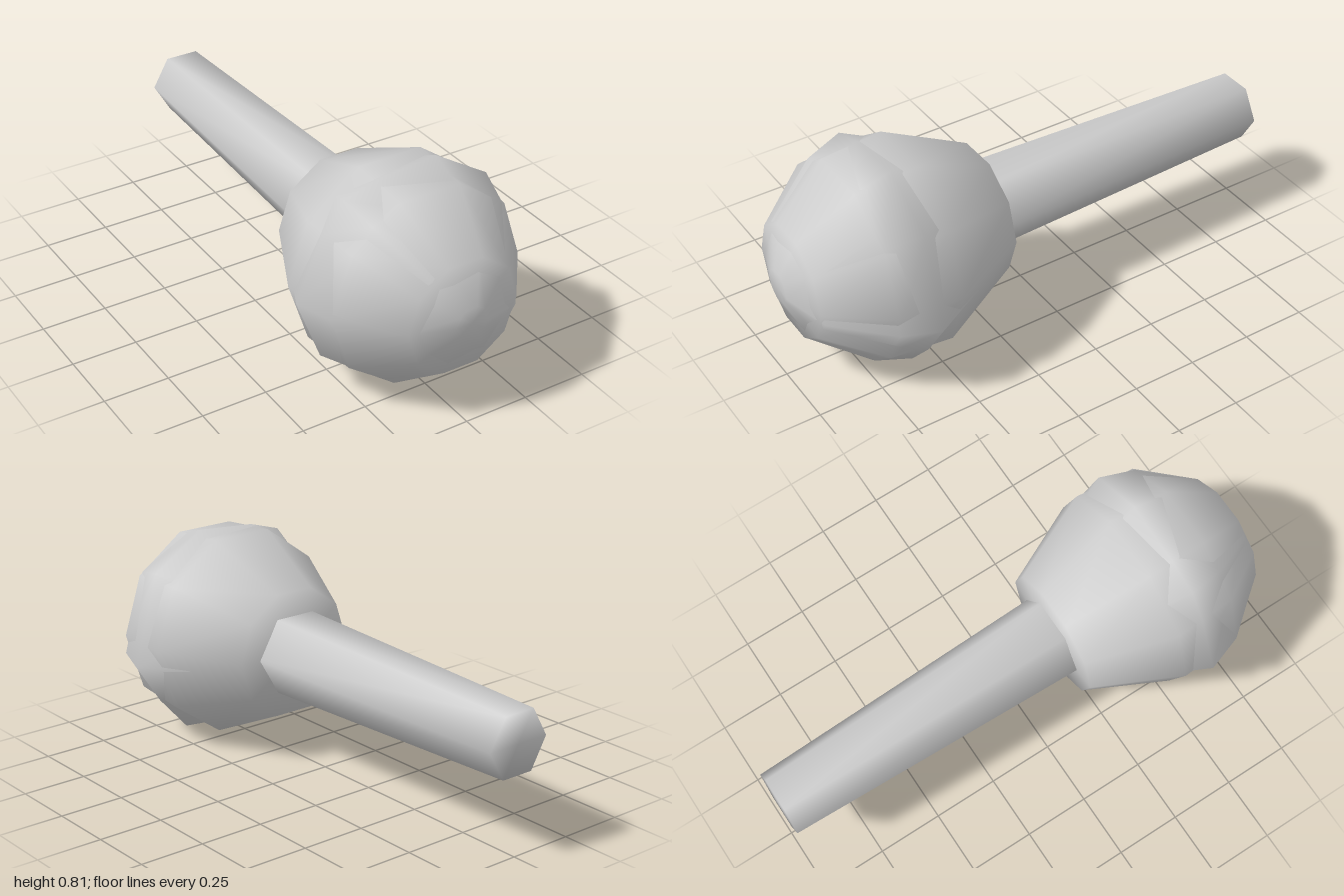
import * as THREE from 'three';
import { mergeVertices } from 'three/addons/utils/BufferGeometryUtils.js';

const CY = 0.41; // height of the long axis

// Skin a closed outline through [z, scale] sections, back to front; scale 0 closes an end
function loft(outline, sections) {
  const n = outline.length, pos = [], idx = [];
  for (const [z, s] of sections)
    for (const [x, y] of outline) pos.push(x * s, y * s, z);
  for (let k = 0; k < sections.length - 1; k++) {
    for (let i = 0; i < n; i++) {
      const a = k * n + i, b = k * n + (i + 1) % n;
      if (sections[k][1] > 0) idx.push(a, b, a + n);
      if (sections[k + 1][1] > 0) idx.push(b, b + n, a + n);
    }
  }
  let g = new THREE.BufferGeometry();
  g.setAttribute('position', new THREE.Float32BufferAttribute(pos, 3));
  g.setIndex(idx);
  g = mergeVertices(g); // shared points at the ends give smooth shading
  g.computeVertexNormals();
  return g;
}

// Regular polygon of unit radius, counter-clockwise
const ngon = (n) => Array.from({ length: n }, (_, i) => {
  const a = (i / n) * Math.PI * 2;
  return [Math.cos(a), Math.sin(a)];
});

export function createModel() {
  const model = new THREE.Group();
  const material = new THREE.MeshStandardMaterial({ color: 0xcccccc });
  const add = (name, geometry) => {
    const mesh = new THREE.Mesh(geometry, material);
    mesh.name = name;
    mesh.position.y = CY;
    model.add(mesh);
  };

  // Ten-sided ball with a flattened back
  add('head', loft(ngon(10), [
    [0.17, 0], [0.18, 0.25], [0.5, 0.405], [0.74, 0.385], [0.95, 0.22], [0.99, 0],
  ]));

  // Irregular outer skin that pokes through the ball at its corners
  const skin = [
    [0.435, -0.08], [0.335, 0.27], [0.12, 0.405], [-0.12, 0.385], [-0.25, 0.345], [-0.33, 0.24],
    [-0.435, 0], [-0.34, -0.25], [-0.14, -0.41], [0.21, -0.375], [0.33, -0.24],
  ];
  add('headSkin', loft(skin, [
    [0.18, 0], [0.2, 0.55], [0.6, 1], [0.74, 0.89], [0.94, 0.52], [1, 0.15], [1, 0],
  ]));

  // Tapered six-sided handle
  add('handle', loft(ngon(6), [[-1, 0], [-1, 0.13], [0.25, 0.168], [0.25, 0]]));

  return model;
}
